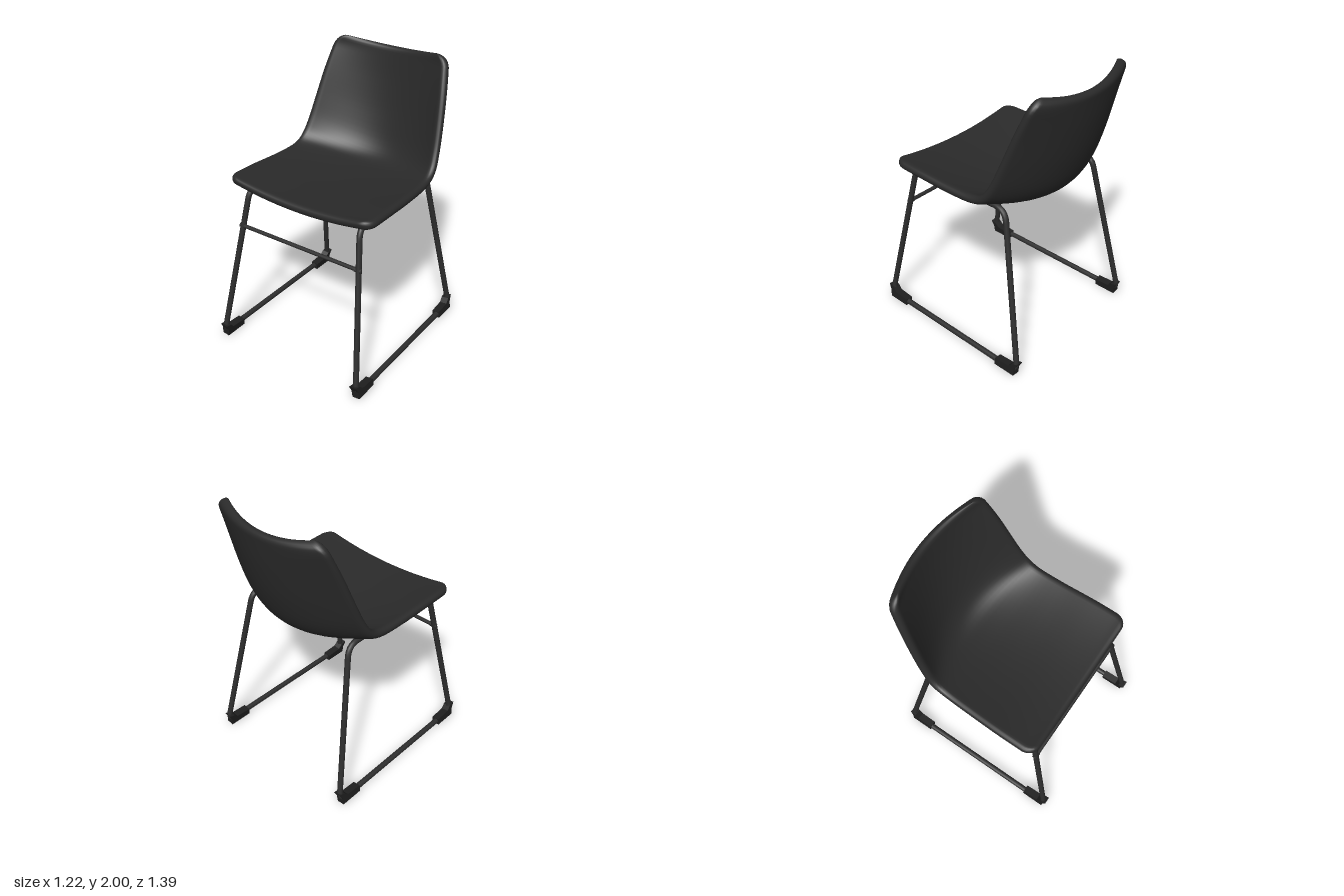
import * as THREE from 'three';
import { mergeVertices } from 'three/addons/utils/BufferGeometryUtils.js';

const V = (x, y, z) => new THREE.Vector3(x, y, z);

// Bucket shell: centre line and edge line lofted together, thickened with a rounded rim
function shellGeometry() {
  const centre = new THREE.CatmullRomCurve3([
    [1.19, 0.535], [1.17, 0.3], [1.15, 0.05], [1.14, -0.2], [1.155, -0.37],
    [1.25, -0.485], [1.45, -0.565], [1.7, -0.625], [1.955, -0.667],
  ].map(([y, z]) => V(0, y, z)), false, 'catmullrom');
  const edge = new THREE.CatmullRomCurve3([
    [0.58, 1.24, 0.535], [0.58, 1.235, 0.28], [0.572, 1.225, 0.03], [0.565, 1.235, -0.17], [0.56, 1.29, -0.27],
    [0.545, 1.4, -0.335], [0.525, 1.56, -0.4], [0.495, 1.77, -0.48], [0.45, 1.998, -0.575],
  ].map((p) => V(...p)), false, 'catmullrom');
  const length = 1.95, half = 0.03, corner = 0.085, rows = 56, cols = 40;
  const endDistance = (t) => Math.min(t, 1 - t) * length;

  const middle = (u, t, rounded) => {
    const c = centre.getPoint(t), e = edge.getPoint(t), f = u * u;
    const gap = rounded ? Math.max(corner - endDistance(t), 0) : 0;
    const width = e.x - (gap > 0 ? corner - Math.sqrt(corner * corner - gap * gap) : 0);
    return V(width * u, c.y + (e.y - c.y) * f, c.z + (e.z - c.z) * f);
  };
  const normal = (u, t) => {
    const k = 0.002, t0 = Math.max(t - k, 0), t1 = Math.min(t + k, 1);
    const du = middle(u + k, t).sub(middle(u - k, t));
    const dt = middle(u, t1).sub(middle(u, t0));
    return du.cross(dt).normalize();
  };
  const rim = (d) => Math.sqrt(Math.max(0, 1 - Math.max(0, 1 - d / half) ** 2));

  const positions = [], index = [];
  for (const side of [1, -1]) {
    const base = positions.length / 3;
    for (let i = 0; i <= rows; i++) {
      const t = (1 - Math.cos((Math.PI * i) / rows)) / 2;
      for (let j = 0; j <= cols; j++) {
        const u = -Math.cos((Math.PI * j) / cols);
        const h = half * rim(endDistance(t)) * rim((1 - Math.abs(u)) * 0.55);
        const p = middle(u, t, true).addScaledVector(normal(u, t), side * h);
        positions.push(p.x, p.y, p.z);
        if (i < rows && j < cols) {
          const a = base + i * (cols + 1) + j, b = a + 1, c = b + cols + 1, d = c - 1;
          if (side > 0) index.push(a, b, c, a, c, d);
          else index.push(a, c, b, a, d, c);
        }
      }
    }
  }
  const g = new THREE.BufferGeometry();
  g.setAttribute('position', new THREE.Float32BufferAttribute(positions, 3));
  g.setIndex(index);
  const merged = mergeVertices(g, 1e-5);
  merged.computeVertexNormals();
  return merged;
}

// Closed side loop of bent tube; x leans outward toward the floor
const leanX = (y) => 0.45 + 0.135 * (1.18 - y) / 1.15;
function sledGeometry(side) {
  const corners = [[0.675, 0.03], [0.452, 1.17], [-0.368, 1.185], [-0.595, 0.03]]
    .map(([z, y]) => V(side * leanX(y), y, z));
  const radius = 0.085, path = new THREE.CurvePath(), n = corners.length;
  const toward = (a, b) => a.clone().add(b.clone().sub(a).setLength(radius));
  corners.forEach((c, i) => {
    const next = corners[(i + 1) % n], prev = corners[(i + n - 1) % n];
    path.add(new THREE.QuadraticBezierCurve3(toward(c, prev), c, toward(c, next)));
    path.add(new THREE.LineCurve3(toward(c, next), toward(next, c)));
  });
  return new THREE.TubeGeometry(path, 200, 0.02, 12, true);
}

// Straight rod between two points
function rodGeometry(a, b, r) {
  return new THREE.TubeGeometry(new THREE.LineCurve3(a, b), 1, r, 10, false);
}

// Floor shoe profile, running back from the heel at x = 0
function shoeGeometry() {
  const s = new THREE.Shape([
    [-0.025, 0], [-0.022, 0.055], [0, 0.1], [-0.045, 0.09], [-0.075, 0.058], [-0.195, 0.05], [-0.195, 0],
  ].map(([x, y]) => new THREE.Vector2(x, y)));
  const g = new THREE.ExtrudeGeometry(s, { depth: 0.056, bevelEnabled: false });
  g.translate(0, 0, -0.028);
  g.rotateY(-Math.PI / 2);
  return g;
}

export function createModel() {
  const group = new THREE.Group();
  const material = (name, color) => {
    const m = new THREE.MeshStandardMaterial({ color });
    m.name = name;
    return m;
  };
  const upholstery = material('charcoal upholstery', 0x2a2a2a);
  const metal = material('dark metal', 0x2d2d2d);
  const plastic = material('black plastic', 0x1f1f1f);
  const add = (name, geometry, mat) => {
    const mesh = new THREE.Mesh(geometry, mat);
    mesh.name = name;
    group.add(mesh);
    return mesh;
  };

  add('seatShell', shellGeometry(), upholstery);

  // Sled frames with floor shoes
  const shoe = shoeGeometry();
  for (const side of [1, -1]) {
    const label = side > 0 ? 'left' : 'right';
    add(label + 'SledFrame', sledGeometry(side), metal);
    for (const [end, z, turn] of [['Front', 0.695, 0], ['Back', -0.605, Math.PI]]) {
      const m = add(label + end + 'Shoe', shoe, plastic);
      m.position.set(side * 0.584, 0.003, z);
      m.rotation.set(0, turn, side * 0.117, 'ZYX');
    }
    // Collar where the footrest meets the leg
    add(label + 'FootrestCollar', rodGeometry(V(side * 0.455, 0.89, 0.507), V(side * 0.507, 0.89, 0.507), 0.017), metal);
  }
  add('footrest', rodGeometry(V(-0.484, 0.89, 0.507), V(0.484, 0.89, 0.507), 0.014), metal);

  // Support rods under the seat
  for (const [name, z, dip] of [['frontSupport', 0.3, 1.125], ['backSupport', -0.2, 1.1]]) {
    const curve = new THREE.QuadraticBezierCurve3(V(-0.45, 1.175, z), V(0, 2 * dip - 1.175, z), V(0.45, 1.175, z));
    add(name, new THREE.TubeGeometry(curve, 24, 0.012, 8, false), metal);
  }
  add('centreSupport', rodGeometry(V(0, 1.122, 0.315), V(0, 1.096, -0.22), 0.013), metal);
  return group;
}
